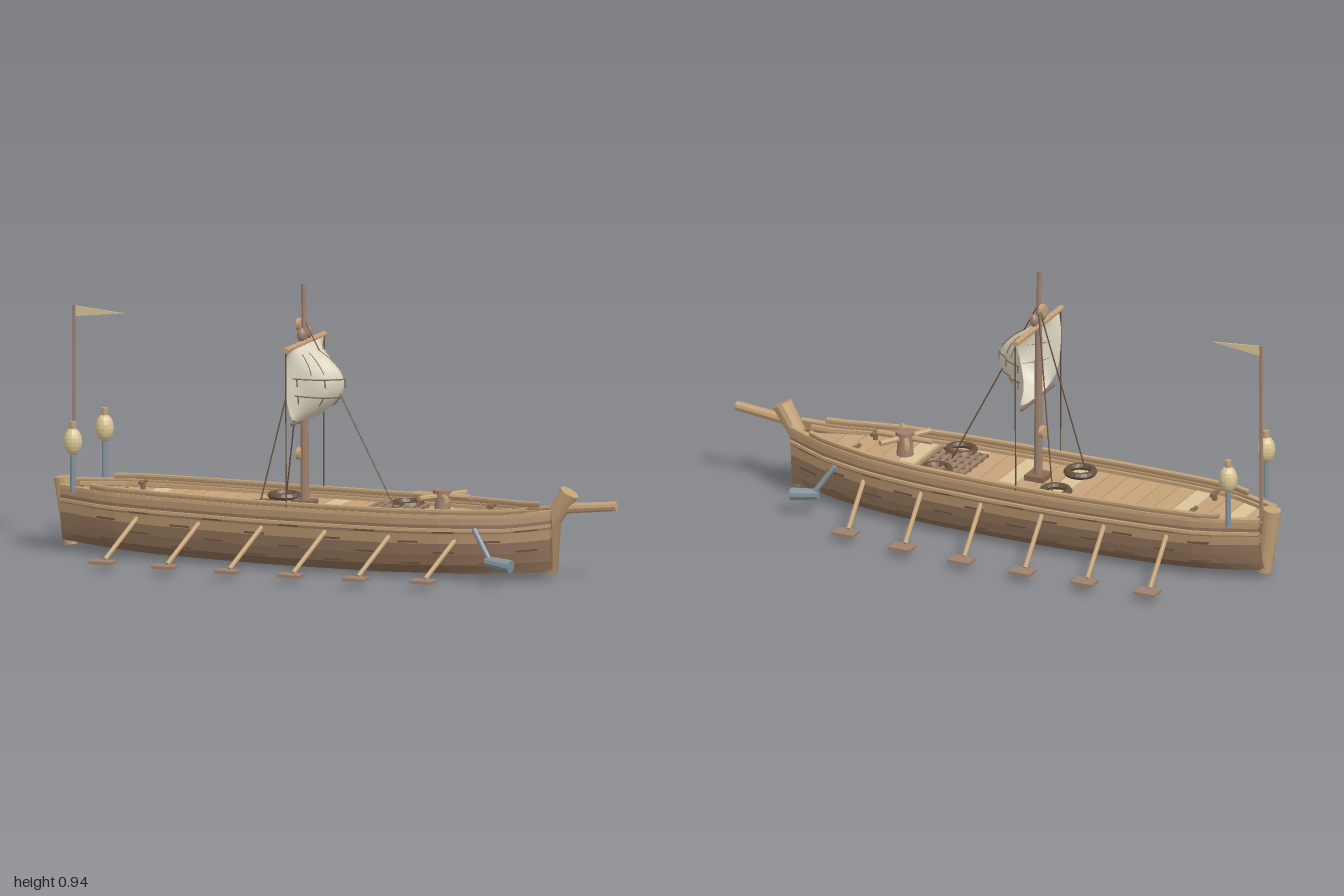
import * as THREE from 'three';

const mat = (name, color, options = { flatShading: true }) => {
  const m = new THREE.MeshStandardMaterial({ color, ...options });
  m.name = name;
  return m;
};

export function createModel() {
  const ship = new THREE.Group();
  ship.name = 'ship';
  const M = {
    plank: mat('hull brown', 0x866a52), plankB: mat('warm hull brown', 0xa58562),
    dark: mat('dark wood', 0x67513f), light: mat('light wood', 0xc3a177),
    deck: mat('deck tan', 0xc8a37d), deckB: mat('pale deck tan', 0xd8c498),
    sail: mat('sailcloth', 0xdad3be, { side: THREE.DoubleSide }), metal: mat('grey metal', 0x85939d),
    lamp: mat('lantern cream', 0xd9c595), blade: mat('oar brown', 0x9e816d),
  };
  const add = (name, geo, m, pos = [0, 0, 0]) => {
    const mesh = new THREE.Mesh(geo, m);
    mesh.name = name;
    mesh.position.set(...pos);
    ship.add(mesh);
    return mesh;
  };
  const box = (name, m, size, pos) => add(name, new THREE.BoxGeometry(...size), m, pos);
  // round bar between two points
  const bar = (name, m, a, b, r, r2 = r, sides = 10) => {
    const A = new THREE.Vector3(...a), B = new THREE.Vector3(...b), d = B.clone().sub(A);
    const mesh = add(name, new THREE.CylinderGeometry(r2, r, d.length(), sides), m, A.clone().add(B).multiplyScalar(0.5).toArray());
    mesh.quaternion.setFromUnitVectors(new THREE.Vector3(0, 1, 0), d.normalize());
    return mesh;
  };
  // closed solid through a row of matching cross-sections
  const loft = (rings) => {
    const n = rings[0].length, last = rings.length - 1, tris = [];
    for (let i = 0; i < last; i++) for (let j = 0; j < n; j++) {
      const k = (j + 1) % n, a = rings[i][j], b = rings[i][k], c = rings[i + 1][k], d = rings[i + 1][j];
      tris.push([a, b, c], [a, c, d]);
    }
    for (let j = 1; j < n - 1; j++) {
      tris.push([rings[0][0], rings[0][j + 1], rings[0][j]], [rings[last][0], rings[last][j], rings[last][j + 1]]);
    }
    const V = (p) => new THREE.Vector3(...p);
    let volume = 0;
    for (const [a, b, c] of tris) volume += V(a).dot(V(b).cross(V(c)));
    if (volume < 0) tris.forEach((t) => t.reverse());
    const g = new THREE.BufferGeometry();
    g.setAttribute('position', new THREE.Float32BufferAttribute(tris.flat(2), 3));
    g.computeVertexNormals();
    return g;
  };

  // hull lines: half beam, keel height and top edge along x
  const along = (table) => (x) => {
    let i = 0;
    while (i < table.length - 2 && x > table[i + 1][0]) i++;
    const [a, b] = [table[i], table[i + 1]];
    return a[1] + (b[1] - a[1]) * (x - a[0]) / (b[0] - a[0]);
  };
  const beam = along([[-0.955, 0.066], [-0.77, 0.14], [-0.6, 0.156], [-0.3, 0.169], [0, 0.169], [0.25, 0.16], [0.45, 0.138], [0.6, 0.1], [0.78, 0.04]]);
  const keel = along([[-0.955, 0.03], [-0.6, 0.01], [-0.2, 0.003], [0.2, 0.003], [0.55, 0.013], [0.78, 0.032]]);
  const sheer = along([[-0.955, 0.222], [-0.8, 0.22], [-0.2, 0.213], [0.3, 0.214], [0.66, 0.221], [0.78, 0.238]]);
  const stations = (a, b, n = 24) => Array.from({ length: n + 1 }, (_, i) => a + (b - a) * i / n);
  const G = [0, 0.05, 0.2, 0.38, 0.56, 0.72, 0.87, 1];
  const F = [0, 0.6, 0.8, 0.89, 0.94, 0.965, 0.985, 1];
  const hullPoint = (x, k) => [keel(x) + (sheer(x) - keel(x)) * G[k], beam(x) * F[k]];
  const strakeColors = [M.plank, M.plank, M.plank, M.plank, M.plankB, M.plank, M.plankB];

  // overlapping strakes, rails and seam battens on both sides
  for (const s of [1, -1]) {
    strakeColors.forEach((color, k) => {
      const rings = stations(-0.955, 0.78).map((x) => {
        const [y0, z0] = hullPoint(x, k), [y1, z1] = hullPoint(x, k + 1);
        const t = k ? 0.009 : 0;
        return [[x, y0 - 0.003, s * (z0 + t)], [x, y1, s * (z1 + 0.001)], [x, y1, s * Math.max(z1 - 0.014, 0)], [x, y0 + (k ? 0 : 0.012), s * Math.max(z0 - 0.014, 0)]];
      });
      add('strake', loft(rings), color);
      if (k > 1 && k < 6) for (let i = 0; i < 6; i++) {
        const x = -0.8 + i * 0.27 + (k % 2) * 0.12;
        const batten = stations(x, x + 0.07, 2).map((px) => {
          const [y, z] = hullPoint(px, k);
          return [[px, y, s * z], [px, y, s * (z + 0.012)], [px, y + 0.006, s * (z + 0.012)], [px, y + 0.006, s * z]];
        });
        add('seamBatten', loft(batten), M.dark);
      }
    });
    const rail = (name, m, x0, x1, inset, width, y0, y1) => add(name, loft(stations(x0, x1).map((x) => {
      const z = beam(x) + inset, y = sheer(x);
      return [[x, y + y0, s * z], [x, y + y1, s * z], [x, y + y1, s * (z - width)], [x, y + y0, s * (z - width)]];
    })), m);
    rail('gunwale', M.light, -0.955, 0.78, 0.008, 0.02, -0.008, 0.004);
    rail('topRail', M.plankB, -0.83, 0.7, 0.003, 0.013, 0.004, 0.014);
    rail('topRailCap', M.light, -0.83, 0.7, 0.006, 0.018, 0.014, 0.021);
    rail('innerRail', M.light, -0.93, 0.74, -0.017, 0.01, -0.016, -0.004);
    rail('wale', M.light, -0.955, 0.78, 0.011, 0.018, -0.052, -0.042);
  }
  add('keel', loft(stations(-0.95, 0.78, 12).map((x) => {
    const y = keel(x);
    return [[x, y - 0.003, -0.012], [x, y - 0.003, 0.012], [x, y + 0.015, 0.012], [x, y + 0.015, -0.012]];
  })), M.plank);
  box('transom', M.plank, [0.02, 0.16, 0.1], [-0.93, 0.125, 0]);

  // crosswise deck planks
  const count = 27, x0 = -0.94, step = 1.7 / count;
  for (let i = 0; i < count; i++) {
    const a = x0 + i * step, b = a + step - 0.004;
    const ring = (x) => {
      const z = beam(x) - 0.01, y = 0.19;
      return [[x, y, -z], [x, y, z], [x, y + 0.008, z], [x, y + 0.008, -z]];
    };
    add('deckPlank', loft([ring(a), ring(b)]), [M.deck, M.deckB, M.deck, M.light][(i * 5 + (i >> 2)) % 4]);
  }
  add('underDeck', loft(stations(-0.94, 0.76).map((x) => {
    const z = beam(x) - 0.012;
    return [[x, 0.18, -z], [x, 0.18, z], [x, 0.188, z], [x, 0.188, -z]];
  })), M.dark);

  // stem, stern post and bowsprit
  bar('stemLower', M.plankB, [0.765, 0.025, 0], [0.775, 0.22, 0], 0.024, 0.028);
  bar('stemHead', M.light, [0.77, 0.195, 0], [0.833, 0.3, 0], 0.028, 0.034, 12);
  bar('bowsprit', M.light, [0.8, 0.243, 0], [1, 0.263, 0], 0.018, 0.016);
  bar('sternPost', M.light, [-0.943, 0.015, 0], [-0.973, 0.24, 0], 0.024, 0.03, 12);

  // mast, yards and masthead fittings
  bar('lowerMast', M.blade, [-0.11, 0.19, 0], [-0.112, 0.74, 0], 0.015, 0.012);
  bar('upperMast', M.blade, [-0.112, 0.74, 0], [-0.115, 0.943, 0], 0.009, 0.008);
  box('mastStep', M.plank, [0.07, 0.02, 0.07], [-0.11, 0.206, 0]);
  bar('yard', M.light, [-0.11, 0.745, -0.178], [-0.11, 0.745, 0.178], 0.01);
  bar('lowerYard', M.plank, [-0.108, 0.487, -0.125], [-0.108, 0.487, 0.125], 0.005);
  for (const y of [0.805, 0.37]) bar('mastDisc', M.light, [-0.136, y, 0], [-0.12, y, 0], 0.021, 0.021, 14);
  for (const s of [1, -1]) {
    add('block', new THREE.SphereGeometry(0.015, 10, 8), M.blade, [-0.11, 0.776, s * 0.031]).scale.y = 1.5;
  }

  // billowing sail, sharpest along its middle, with reef lines and ties
  const sailPoint = (u, v, off = 0) => {
    const swell = Math.pow(Math.sin(Math.PI * v), 0.8);
    const across = 1 - Math.pow(u * u + 0.01, 0.6);
    return [-0.102 + off + swell * (0.162 * across - 0.025) + 0.006 * Math.sin(u * 12 + v * 4) * swell,
      0.742 - 0.236 * v - 0.022 * v * (1 - u * u), u * (0.161 - 0.027 * v)];
  };
  const cloth = new THREE.PlaneGeometry(2, 1, 24, 16), cp = cloth.attributes.position;
  for (let i = 0; i < cp.count; i++) cp.setXYZ(i, ...sailPoint(-cp.getX(i), Math.min(1, Math.max(0, 0.5 - cp.getY(i)))));
  cloth.computeVertexNormals();
  add('sail', cloth, M.sail);
  const clothLine = (name, f, r, n) => {
    const pts = Array.from({ length: n + 1 }, (_, i) => new THREE.Vector3(...f(i / n)));
    add(name, new THREE.TubeGeometry(new THREE.CatmullRomCurve3(pts), n * 2, r, 5), M.plank);
  };
  const sag = (u) => 0.035 * (1 - u * u);
  for (const v of [0.4, 0.64]) {
    clothLine('reefLine', (t) => sailPoint((t - 0.5) * 1.75, v + sag((t - 0.5) * 1.75), 0.003), 0.0026, 14);
    for (const u of [-0.8, -0.4, 0, 0.4, 0.8]) clothLine('reefTie', (t) => sailPoint(u, v + sag(u) + 0.11 * t, 0.004), 0.0024, 3);
  }
  for (const u of [-0.6, -0.35, 0, 0.35, 0.6]) clothLine('sailCord', (t) => sailPoint(u, 0.08 + 0.28 * t, 0.002), 0.0016, 5);

  // rigging
  bar('forestay', M.dark, [-0.11, 0.82, 0], [0.215, 0.2, 0], 0.0025, 0.0025, 5);
  for (const s of [1, -1]) {
    bar('shroud', M.dark, [-0.11, 0.82, 0], [-0.225, 0.2, s * 0.125], 0.0025, 0.0025, 5);
    bar('yardLine', M.dark, [-0.11, 0.745, s * 0.175], [-0.11, 0.21, s * 0.171], 0.0025, 0.0025, 5);
  }

  // stern pennant
  bar('flagPole', M.blade, [-0.932, 0.19, 0], [-0.932, 0.82, 0], 0.007, 0.006, 8);
  const pennant = new THREE.Shape([[0, 0.036], [0, 0], [0.175, 0.02]].map((p) => new THREE.Vector2(...p)));
  add('pennant', new THREE.ExtrudeGeometry(pennant, { depth: 0.004, bevelEnabled: false }), M.lamp, [-0.93, 0.782, -0.002]);

  // capstan
  bar('capstanDrum', M.blade, [0.38, 0.19, 0], [0.38, 0.25, 0], 0.03, 0.024, 12);
  bar('capstanHead', M.blade, [0.38, 0.245, 0], [0.38, 0.28, 0], 0.031, 0.031, 12);
  for (let i = 0; i < 3; i++) {
    const a = i * Math.PI / 3, c = 0.1 * Math.cos(a), d = 0.1 * Math.sin(a);
    bar('capstanBar', M.light, [0.38 - c, 0.26, -d], [0.38 + c, 0.26, d], 0.01, 0.01, 8);
  }

  // cargo hatch with grating
  box('hatch', M.plankB, [0.17, 0.008, 0.19], [0.206, 0.2, 0]);
  for (let i = 0; i < 7; i++) box('gratingBar', M.blade, [0.012, 0.012, 0.19], [0.125 + i * 0.027, 0.205, 0]);
  for (let i = 0; i < 5; i++) box('gratingCross', M.plank, [0.18, 0.01, 0.01], [0.206, 0.204, -0.09 + i * 0.045]);

  for (const s of [1, -1]) {
    // rope coils
    for (const x of [-0.22, 0.22]) {
      add('ropeCoil', new THREE.TorusGeometry(0.045, 0.012, 6, 18), M.dark, [x, 0.208, s * 0.095]).rotation.x = Math.PI / 2;
    }
    // mooring bitts
    for (const [x, z] of [[-0.72, 0.085], [0.525, 0.075]]) {
      bar('bittPost', M.plank, [x, 0.19, s * z], [x, 0.228, s * z], 0.009);
      bar('bittBar', M.plank, [x, 0.223, s * (z - 0.028)], [x, 0.223, s * (z + 0.028)], 0.007);
    }
    // stern lanterns
    bar('lanternPole', M.metal, [-0.88, 0.215, s * 0.145], [-0.88, 0.35, s * 0.145], 0.009);
    add('lantern', new THREE.SphereGeometry(0.031, 14, 10), M.lamp, [-0.88, 0.386, s * 0.145]).scale.y = 1.5;
    bar('lanternCap', M.light, [-0.88, 0.42, s * 0.145], [-0.88, 0.453, s * 0.145], 0.011);
    // anchors
    bar('anchorShank', M.metal, [0.558, 0.185, s * 0.168], [0.625, 0.085, s * 0.194], 0.009);
    bar('anchorHead', M.metal, [0.61, 0.083, s * 0.187], [0.703, 0.073, s * 0.202], 0.018, 0.022);
    // oars
    [0.365, 0.375, 0.383, 0.38, 0.365, 0.33].forEach((z, i) => {
      const x = -0.688 + i * 0.2255;
      bar('oarShaft', M.light, [x, 0.032, s * (z - 0.02)], [x + 0.038, 0.15, s * (z - 0.235)], 0.008, 0.008, 8);
      box('oarBlade', M.blade, [0.077, 0.01, 0.056], [x, 0.028, s * z]);
    });
  }
  return ship;
}
